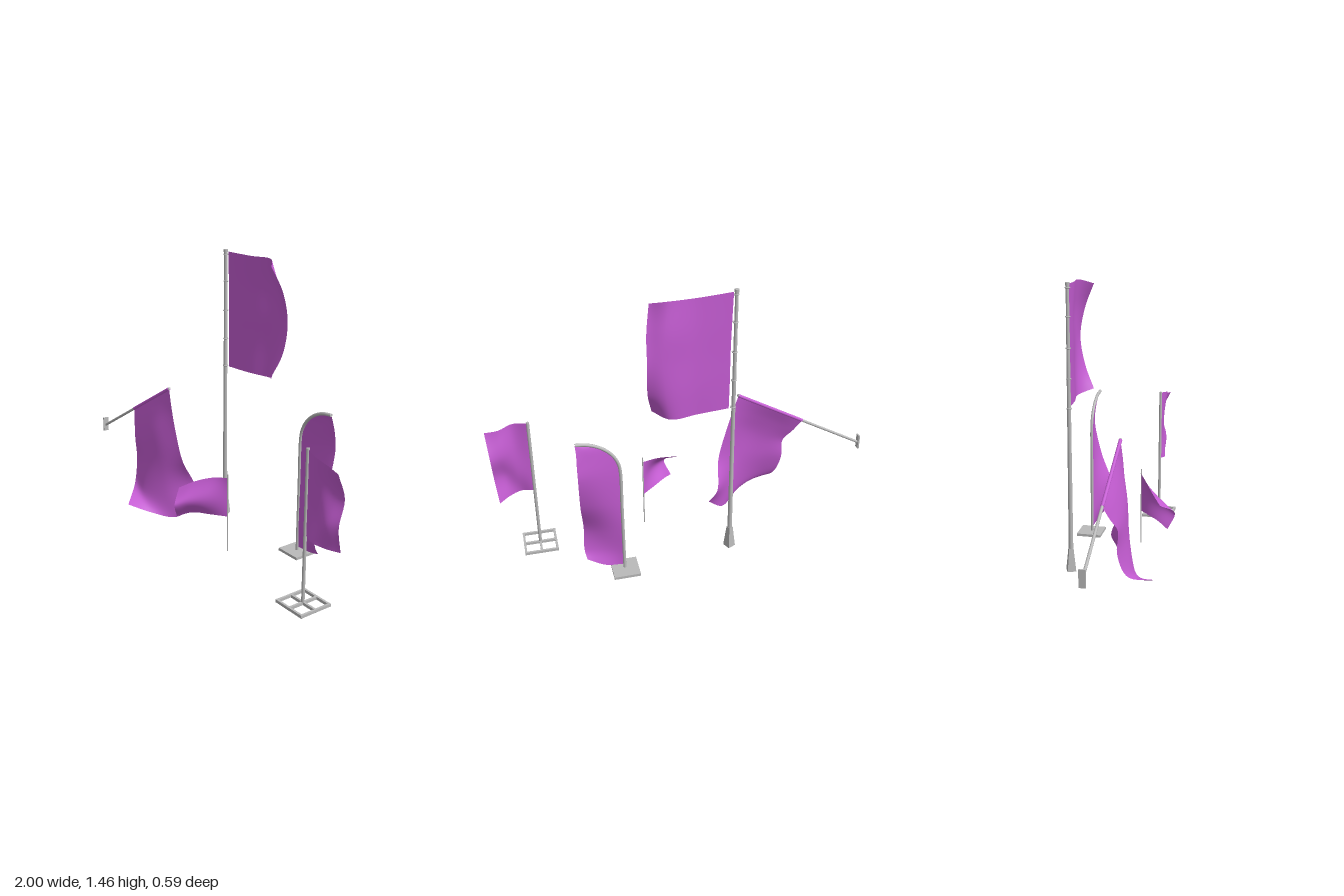
import * as THREE from 'three';

const V = (a) => new THREE.Vector3(...a);

export function createModel() {
  const root = new THREE.Group();
  const cloth = new THREE.MeshStandardMaterial({ color: 0xc45cd2, side: THREE.DoubleSide });
  const metal = new THREE.MeshStandardMaterial({ color: 0xbababa });
  cloth.name = 'purple cloth';
  metal.name = 'grey metal';

  const group = (name) => {
    const g = new THREE.Group();
    g.name = name;
    root.add(g);
    return g;
  };
  const add = (parent, name, geo, mat = metal, pos = [0, 0, 0]) => {
    const m = new THREE.Mesh(geo, mat);
    m.name = name;
    m.position.set(...pos);
    parent.add(m);
    return m;
  };
  // Round bar between two points
  const rod = (parent, name, a, b, r0, r1 = r0, mat = metal) => {
    const d = V(b).sub(V(a));
    const m = add(parent, name, new THREE.CylinderGeometry(r1, r0, d.length(), 16), mat);
    m.position.copy(V(a)).addScaledVector(d, 0.5);
    m.quaternion.setFromUnitVectors(new THREE.Vector3(0, 1, 0), d.normalize());
    return m;
  };
  // Smooth cloth surface passing through a small grid of points
  const sheet = (parent, name, rows, nu = 24, nv = 32) => {
    const across = rows.map((r) => new THREE.CatmullRomCurve3(r.map(V)));
    const geo = new THREE.PlaneGeometry(1, 1, nu, nv);
    const p = geo.attributes.position;
    for (let i = 0; i <= nu; i++) {
      const down = new THREE.CatmullRomCurve3(across.map((c) => c.getPoint(i / nu)));
      for (let j = 0; j <= nv; j++) {
        const q = down.getPoint(j / nv);
        p.setXYZ(j * (nu + 1) + i, q.x, q.y, q.z);
      }
    }
    geo.computeVertexNormals();
    return add(parent, name, geo, cloth);
  };

  // Tall mast with flared square foot and clip rings
  const tall = group('tallMastFlag');
  rod(tall, 'mast', [-0.18, 0.02, -0.195], [-0.18, 1.455, -0.195], 0.012, 0.008);
  const foot = add(tall, 'mastFoot',
    new THREE.CylinderGeometry(0.016, 0.031, 0.12, 4).toNonIndexed(), metal, [-0.18, 0.08, -0.195]);
  foot.geometry.computeVertexNormals();
  foot.rotation.y = Math.PI / 4 + 0.45;
  add(tall, 'mastCap', new THREE.CylinderGeometry(0.011, 0.011, 0.014, 16), metal, [-0.18, 1.458, -0.195]);
  for (const y of [1.44, 1.305, 1.155, 1.007, 0.862]) {
    const ring = add(tall, 'clipRing', new THREE.TorusGeometry(0.011, 0.003, 8, 20), metal, [-0.178, y, -0.195]);
    ring.rotation.x = Math.PI / 2;
  }
  sheet(tall, 'mastFlag', [
    [[-0.165, 1.455, -0.2], [0, 1.45, -0.215], [0.14, 1.45, -0.225], [0.215, 1.425, -0.168]],
    [[-0.16, 1.3, -0.2], [0, 1.3, -0.22], [0.16, 1.3, -0.25], [0.24, 1.3, -0.222]],
    [[-0.157, 1.155, -0.2], [0, 1.155, -0.22], [0.17, 1.155, -0.255], [0.245, 1.15, -0.25]],
    [[-0.157, 1.0, -0.2], [0, 1.0, -0.22], [0.16, 1.0, -0.25], [0.242, 1.0, -0.225]],
    [[-0.155, 0.86, -0.2], [0, 0.858, -0.215], [0.14, 0.86, -0.235], [0.215, 0.88, -0.172]],
  ]);

  // Slanted wall pole with hanging flag
  const wall = group('wallFlag');
  rod(wall, 'wallPole', [-0.995, 0.365, 0.085], [-0.29, 0.757, 0.085], 0.007);
  add(wall, 'wallPlate', new THREE.BoxGeometry(0.008, 0.08, 0.03), metal, [-0.996, 0.37, 0.085]);
  rod(wall, 'flagSleeve', [-0.655, 0.554, 0.085], [-0.295, 0.754, 0.085], 0.0085, 0.0085, cloth);
  sheet(wall, 'hangingFlag', [
    [[-0.655, 0.55, 0.085], [-0.535, 0.62, 0.085], [-0.415, 0.687, 0.085], [-0.295, 0.755, 0.085]],
    [[-0.615, 0.48, 0.11], [-0.52, 0.535, 0.115], [-0.39, 0.6, 0.11], [-0.265, 0.655, 0.09]],
    [[-0.57, 0.41, 0.135], [-0.48, 0.44, 0.14], [-0.36, 0.5, 0.13], [-0.235, 0.55, 0.09]],
    [[-0.565, 0.3, 0.13], [-0.45, 0.31, 0.15], [-0.32, 0.35, 0.13], [-0.19, 0.38, 0.075]],
    [[-0.525, 0.175, 0.17], [-0.41, 0.165, 0.175], [-0.28, 0.185, 0.12], [-0.17, 0.23, 0.01]],
    [[-0.4, 0.115, 0.29], [-0.32, 0.07, 0.19], [-0.23, 0.053, 0.1], [-0.13, 0.14, 0.04]],
  ]);

  // Small flag on a thin stick
  const hand = group('stickFlag');
  rod(hand, 'stick', [0.218, 0.035, 0.085], [0.218, 0.43, 0.085], 0.003);
  rod(hand, 'stickTip', [0.218, 0.43, 0.085], [0.218, 0.462, 0.085], 0.004, 0.0005);
  sheet(hand, 'smallFlag', [
    [[0.218, 0.425, 0.085], [0.14, 0.41, 0.125], [0.06, 0.375, 0.175], [0, 0.335, 0.225]],
    [[0.218, 0.32, 0.085], [0.15, 0.31, 0.18], [0.09, 0.295, 0.25], [0.06, 0.28, 0.292]],
    [[0.218, 0.22, 0.085], [0.15, 0.222, 0.14], [0.08, 0.223, 0.2], [0.03, 0.2, 0.26]],
  ], 20, 20);

  // Feather banner on a plate, pole bending over at the top
  const feather = group('featherBanner');
  add(feather, 'basePlate', new THREE.BoxGeometry(0.135, 0.014, 0.135), metal, [0.383, 0.008, -0.235]);
  const bend = [[0.385, 0.01, -0.23], [0.385, 0.2, -0.23], [0.385, 0.4, -0.23]];
  for (let i = 0; i <= 6; i++) {
    const a = (i / 6) * Math.PI / 2;
    bend.push([0.59 - 0.205 * Math.cos(a), 0.6 + 0.183 * Math.sin(a), -0.23]);
  }
  add(feather, 'bentPole', new THREE.TubeGeometry(new THREE.CatmullRomCurve3(bend.map(V)), 60, 0.008, 12));
  const bendTip = add(feather, 'poleEnd', new THREE.CircleGeometry(0.008, 12), metal, bend[9]);
  bendTip.rotation.y = Math.PI / 2;
  sheet(feather, 'featherFlag', [
    [[0.575, 0.782, -0.23], [0.583, 0.781, -0.23], [0.592, 0.78, -0.23]],
    [[0.5, 0.765, -0.23], [0.55, 0.755, -0.24], [0.59, 0.74, -0.245]],
    [[0.435, 0.72, -0.23], [0.52, 0.7, -0.245], [0.592, 0.68, -0.258]],
    [[0.388, 0.6, -0.23], [0.5, 0.6, -0.25], [0.592, 0.6, -0.264]],
    [[0.388, 0.42, -0.23], [0.49, 0.42, -0.235], [0.587, 0.42, -0.225]],
    [[0.388, 0.24, -0.23], [0.48, 0.24, -0.2], [0.573, 0.24, -0.16]],
    [[0.388, 0.12, -0.23], [0.48, 0.12, -0.2], [0.578, 0.12, -0.172]],
    [[0.395, 0.035, -0.23], [0.48, 0.042, -0.225], [0.57, 0.075, -0.2]],
  ], 16, 48);

  // Upright flag on a crossed square frame
  const stand = group('frameStandFlag');
  for (const o of [-0.082, 0, 0.082]) {
    add(stand, 'frameBar', new THREE.BoxGeometry(0.176, 0.014, 0.011), metal, [0.784, 0.009, 0.084 + o]);
    add(stand, 'frameCrossBar', new THREE.BoxGeometry(0.011, 0.0136, 0.176), metal, [0.784 + o, 0.009, 0.084]);
  }
  rod(stand, 'standPole', [0.784, 0.01, 0.085], [0.784, 0.75, 0.085], 0.008);
  sheet(stand, 'standFlag', [
    [[0.79, 0.745, 0.085], [0.86, 0.737, 0.11], [0.93, 0.715, 0.1], [0.997, 0.705, 0.11]],
    [[0.79, 0.6, 0.085], [0.86, 0.595, 0.095], [0.93, 0.58, 0.07], [0.985, 0.575, 0.055]],
    [[0.79, 0.46, 0.085], [0.86, 0.455, 0.09], [0.92, 0.445, 0.1], [0.978, 0.45, 0.075]],
    [[0.79, 0.345, 0.085], [0.85, 0.34, 0.105], [0.91, 0.33, 0.085], [0.965, 0.32, 0.045]],
  ]);

  return root;
}
